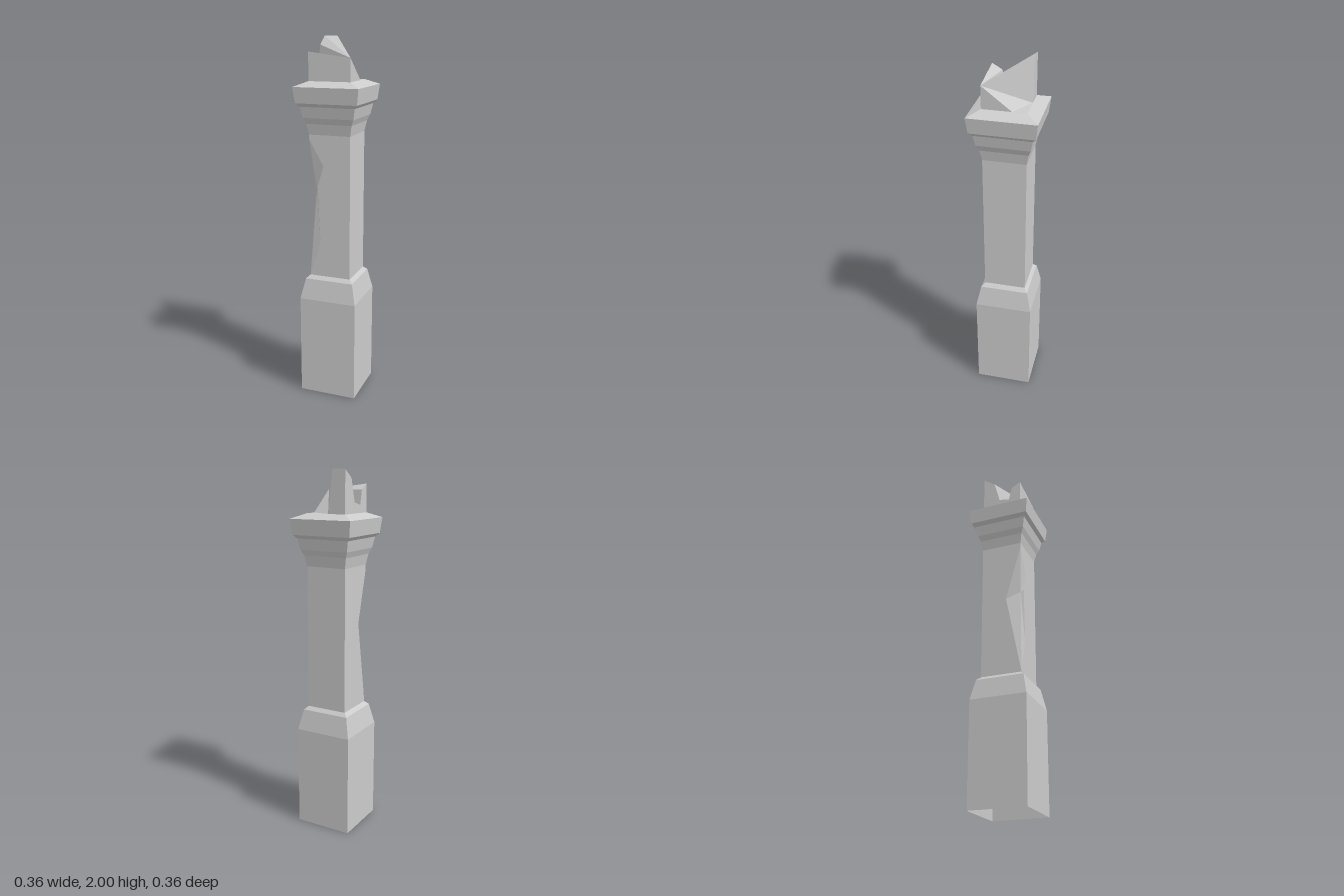
import * as THREE from 'three';
import { mergeGeometries } from 'three/addons/utils/BufferGeometryUtils.js';

const W = 0.116;            // half width of the shaft
const SHAFT_LOW = 0.705, SHAFT_HIGH = 1.496, CAP_TOP = 1.775;

const stone = new THREE.MeshStandardMaterial({
  color: 0xcccccc, flatShading: true, side: THREE.DoubleSide,
});

function part(name, geometry) {
  const mesh = new THREE.Mesh(geometry, stone);
  mesh.name = name;
  return mesh;
}

// Square moulding swept around the column from [half width, height] pairs
function squareLathe(profile) {
  const points = profile.map(([r, y]) => new THREE.Vector2(r * Math.SQRT2, y));
  return new THREE.LatheGeometry(points, 4, Math.PI / 4);
}

// Flat wall drawn in 2D, pushed out to the shaft face and turned to its side
function wall(outline, turn) {
  const shape = new THREE.Shape(outline.map(([x, y]) => new THREE.Vector2(x, y)));
  return new THREE.ShapeGeometry(shape).translate(0, 0, W).rotateY(turn);
}

// Triangles from one apex to each step along a rim
function fan(apex, rim) {
  const positions = [];
  for (let i = 0; i < rim.length - 1; i++) positions.push(...apex, ...rim[i], ...rim[i + 1]);
  const geometry = new THREE.BufferGeometry();
  geometry.setAttribute('position', new THREE.Float32BufferAttribute(positions, 3));
  geometry.computeVertexNormals();
  return geometry;
}

const FRONT = 0, RIGHT = Math.PI / 2, BACK = Math.PI, LEFT = -Math.PI / 2;

export function createModel() {
  const column = new THREE.Group();
  column.name = 'brokenColumn';

  // Pedestal, open underneath
  const pedestal = part('pedestal', squareLathe([
    [0.162, 0], [0.162, 0.57], [0.137, 0.685], [W, SHAFT_LOW],
  ]));
  pedestal.scale.z = 0.98;
  column.add(pedestal);

  // Shaft walls, two of them notched along the chipped corner
  const chipTop = [-W, 1.47], chipEnd = [-W, SHAFT_LOW];
  const notch = [[-0.035, 1.33], [-0.069, 1.215], [-0.055, 0.9]];
  const sideNotch = [0.028, 1.15];
  const plain = [[-W, SHAFT_LOW], [W, SHAFT_LOW], [W, SHAFT_HIGH], [-W, SHAFT_HIGH]];
  column.add(part('shaft', mergeGeometries([
    wall([chipEnd, [W, SHAFT_LOW], [W, SHAFT_HIGH], [-W, SHAFT_HIGH], chipTop, ...notch], FRONT),
    wall([[-W, SHAFT_LOW], [W, SHAFT_LOW], sideNotch, [W, chipTop[1]],
      [W, SHAFT_HIGH], [-W, SHAFT_HIGH]], LEFT),
    wall(plain, RIGHT),
    wall(plain, BACK),
  ])));

  // Broken surface inside the chip
  const onFront = ([x, y]) => [x, y, W];
  column.add(part('chippedCorner', fan([-0.078, 1.2, 0.1], [
    onFront(chipTop), [-W, sideNotch[1], sideNotch[0]], onFront(chipEnd),
    ...notch.map(onFront).reverse(), onFront(chipTop),
  ])));

  // Capital mouldings
  column.add(part('capital', squareLathe([
    [W, SHAFT_HIGH], [0.127, 1.554], [0.141, 1.586], [0.153, 1.645],
    [0.171, 1.664], [0.181, 1.748], [W, CAP_TOP],
  ])));

  // Broken stump above the capital: four walls, jagged top, exposed ledge
  const jagged = [[W, 1.925], [0.063, 1.895], [0.045, 1.815], [-0.015, 1.83], [-0.05, 1.955], [-W, 2]];
  const ledgeFront = [W, CAP_TOP, -0.04], ledgeBack = [-0.015, CAP_TOP, -W];
  column.add(part('brokenStump', mergeGeometries([
    wall([[-W, CAP_TOP], [W, CAP_TOP], [W, 1.895], [-W, 1.925]], FRONT),
    wall([[-W, CAP_TOP], [0.04, CAP_TOP], [-W, 1.895]], RIGHT),
    wall([[0.015, CAP_TOP], [W, CAP_TOP], [W, 2], [0.042, 2]], BACK),
    wall([[-W, CAP_TOP], [W, CAP_TOP], ...jagged], LEFT),
  ])));
  column.add(part('brokenTop', fan([W, 1.895, W], [
    ledgeFront, ledgeBack, [-0.042, 2, -W],
    ...jagged.map(([z, y]) => [-W, y, z]).reverse(),
  ])));
  column.add(part('ledge', fan(ledgeFront, [[W, CAP_TOP, -W], ledgeBack])));

  return column;
}
